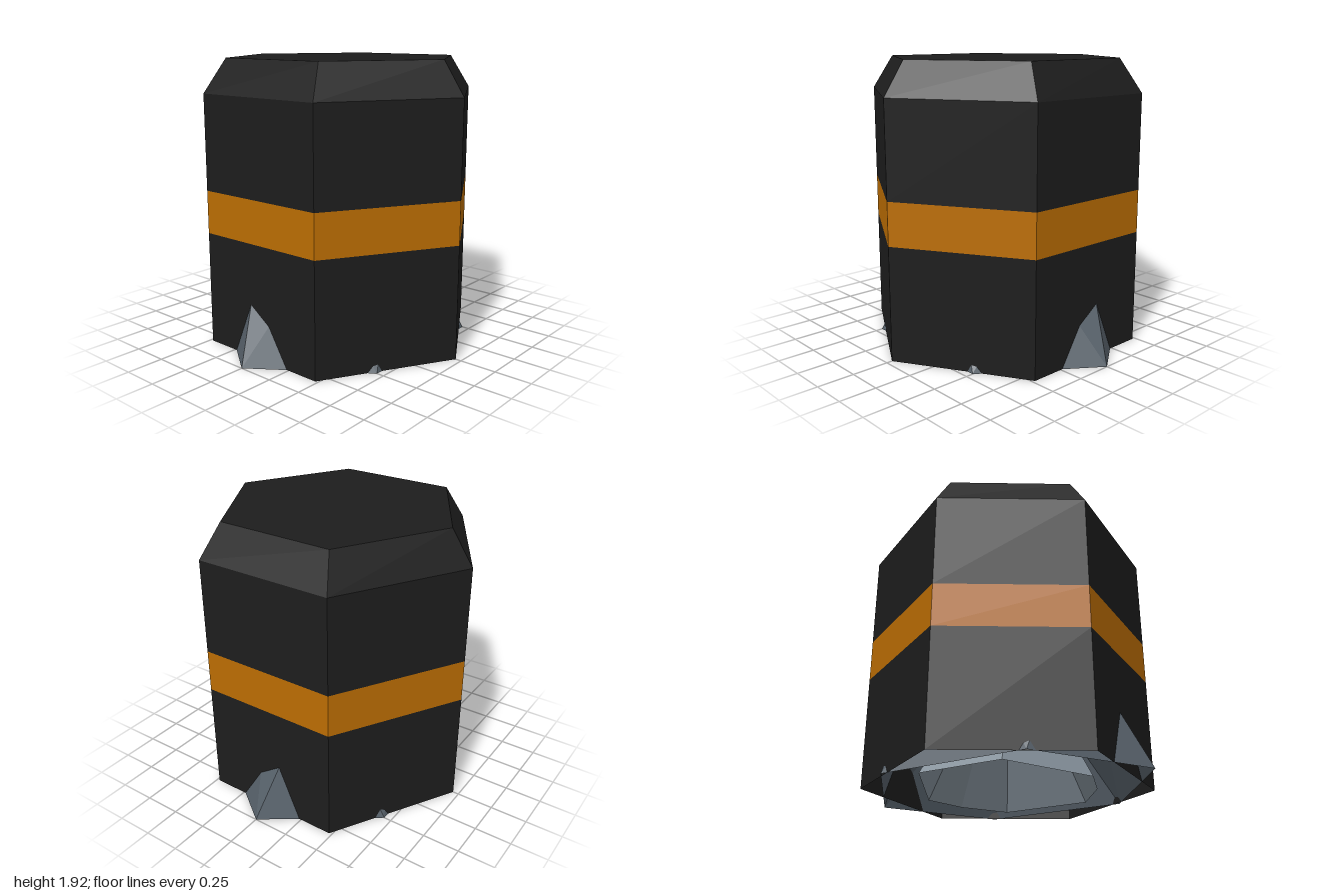
import * as THREE from 'three';

const mat = (name, color) => {
  const m = new THREE.MeshStandardMaterial({ color, flatShading: true, side: THREE.DoubleSide });
  m.name = name;
  return m;
};

// Faceted open dome: rim ring on the ground, upper ring, apex
function dome(rim, ring, apex) {
  const pos = [];
  const tri = (...pts) => pts.forEach((p) => pos.push(...p));
  rim.forEach((_, i) => {
    const j = (i + 1) % rim.length;
    tri(rim[i], ring[i], rim[j]);
    tri(rim[j], ring[i], ring[j]);
    tri(ring[i], apex, ring[j]);
  });
  const g = new THREE.BufferGeometry();
  g.setAttribute('position', new THREE.Float32BufferAttribute(pos, 3));
  g.computeVertexNormals();
  return g;
}

export function createModel() {
  const group = new THREE.Group();
  const dark = mat('charcoal', 0x1d1d1d);
  const orange = mat('amber', 0xbb6d02);
  const slate = mat('slate', 0x566069);
  const paleSlate = mat('paleSlate', 0x84909a);

  const add = (name, geometry, material) => {
    const mesh = new THREE.Mesh(geometry, material);
    mesh.name = name;
    group.add(mesh);
  };

  // Hexagonal wall between two heights
  const wall = (name, y0, y1, r0, r1, material) => {
    const g = new THREE.CylinderGeometry(r1, r0, y1 - y0, 6, 1, true);
    g.translate(0, (y0 + y1) / 2, 0);
    add(name, g, material);
  };
  const R = 0.96, T = 0.808;
  wall('lowerBody', 0, 0.77, R, R, dark);
  wall('band', 0.77, 1.06, R, R, orange);
  wall('upperBody', 1.06, 1.7, R, R, dark);
  wall('bevel', 1.7, 1.925, R, T, dark);

  // Flat hexagonal top
  const top = new THREE.CircleGeometry(T, 6, Math.PI / 2);
  top.rotateX(-Math.PI / 2).translate(0, 1.925, 0);
  add('topFace', top, dark);

  // Outer rock shell, its tips breaking through the walls
  const outerRim = [[1, 0, 0], [0.5, 0, 0.7], [-0.5, 0, 0.7], [-1, 0, 0], [-0.5, 0, -0.7], [0.5, 0, -0.7]];
  const outerRing = [
    [0.56, 0.65, 0.21], [0, 0.9, 0.45], [-0.56, 0.65, 0.21],
    [-0.56, 0.94, -0.21], [0, 0.8, -0.45], [0.56, 0.94, -0.21],
  ];
  add('outerRock', dome(outerRim, outerRing, [0, 1.05, 0]), slate);

  // Inner rock shell, open below
  const innerRim = [
    [0.61, 0, -0.02], [0.52, 0, 0.26], [0.31, 0, 0.55], [-0.31, 0, 0.55],
    [-0.52, 0, 0.26], [-0.61, 0, -0.02], [-0.29, 0, -0.6], [0.29, 0, -0.6],
  ];
  const innerRing = innerRim.map(([x, , z]) => [x * 0.5, 0.6, z * 0.5]);
  add('innerRock', dome(innerRim, innerRing, [0, 0.66, 0]), paleSlate);

  return group;
}
